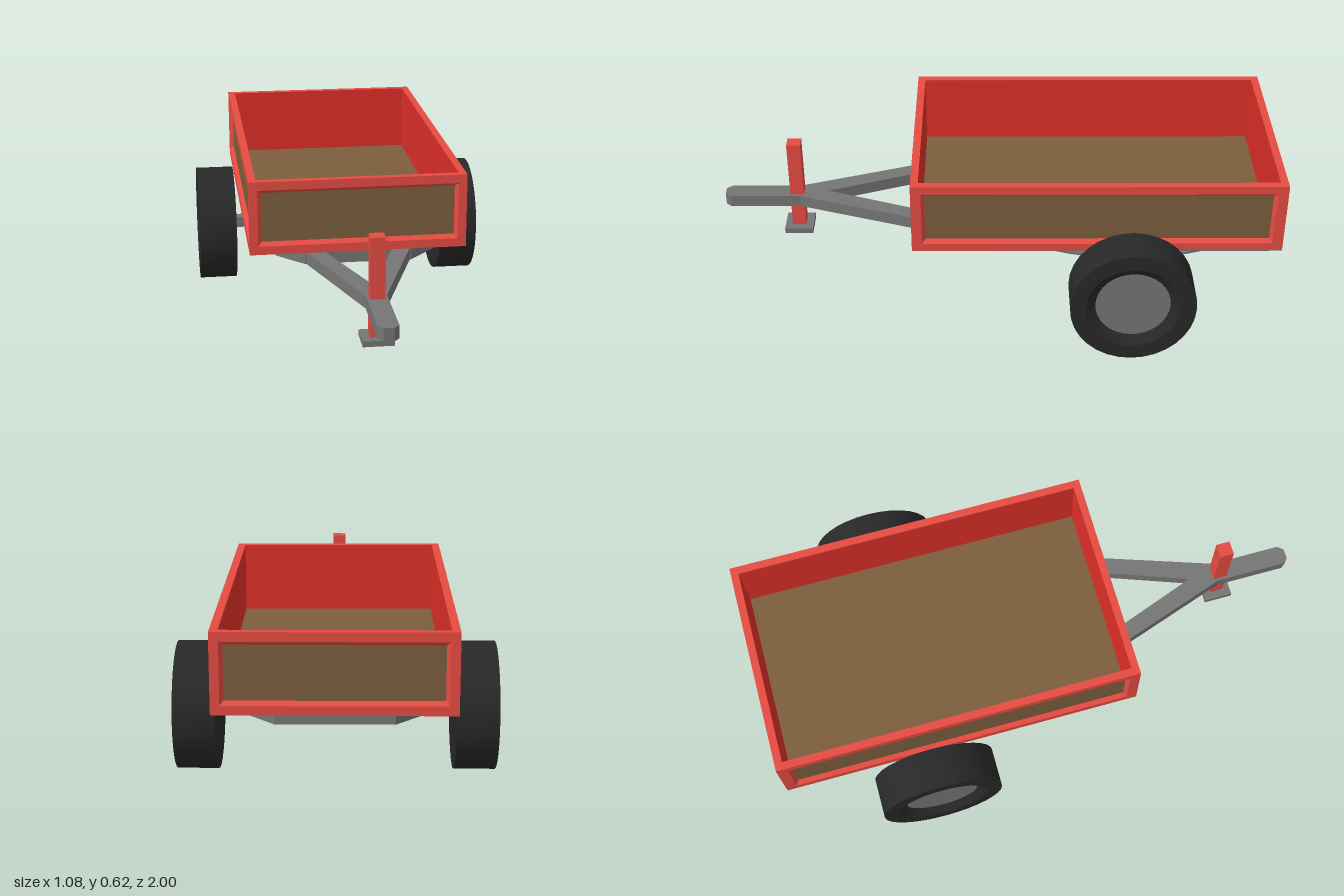
import * as THREE from 'three';
import { toCreasedNormals } from 'three/addons/utils/BufferGeometryUtils.js';

const mat = (name, color) => {
  const m = new THREE.MeshStandardMaterial({ color });
  m.name = name;
  return m;
};

export function createModel() {
  const red = mat('red paint', 0xe64b42);
  const innerRed = mat('inner red', 0xde2f27);
  const brown = mat('brown board', 0x7c5e3e);
  const grey = mat('grey steel', 0x757575);
  const dark = mat('dark rubber', 0x282828);

  const model = new THREE.Group();
  model.name = 'trailer';

  const add = (parent, name, geo, material, x = 0, y = 0, z = 0) => {
    const m = new THREE.Mesh(geo, material);
    m.name = name;
    m.position.set(x, y, z);
    parent.add(m);
    return m;
  };
  const box = (name, material, w, h, d, x, y, z) =>
    add(model, name, new THREE.BoxGeometry(w, h, d), material, x, y, z);
  const vecs = (pts) => pts.map(([a, b]) => new THREE.Vector2(a, b));
  // Horizontal plate from an [x, z] outline, between two heights
  const plate = (outline, y0, y1, hole) => {
    const s = new THREE.Shape(vecs(outline));
    if (hole) s.holes.push(new THREE.Path(vecs(hole)));
    return new THREE.ExtrudeGeometry(s, { depth: y1 - y0, bevelEnabled: false })
      .rotateX(Math.PI / 2).translate(0, y1, 0);
  };
  const rect = (w, h) => [[-w, -h], [w, -h], [w, h], [-w, h]];

  // Cargo box dimensions
  const W = 0.77, L = 1.295, Y0 = 0.353, Y1 = 0.62, H = Y1 - Y0, ZC = -0.3525, T = 0.027;

  // Red surround: flat border followed by a bevel into the recess
  const surround = (w, border) => {
    const pos = [];
    const rings = [[0, 0, 0], [border, 0.031, 0], [border + 0.012, 0.044, -0.015]].map(([mx, my, z]) =>
      rect(w / 2 - mx, H / 2 - my).map(([x, y]) => [x, y, z]));
    for (let r = 0; r < 2; r++) {
      for (let i = 0; i < 4; i++) {
        const j = (i + 1) % 4;
        const [a, b, c, d] = [rings[r][i], rings[r][j], rings[r + 1][j], rings[r + 1][i]];
        pos.push(...a, ...b, ...c, ...a, ...c, ...d);
      }
    }
    const g = new THREE.BufferGeometry();
    g.setAttribute('position', new THREE.Float32BufferAttribute(pos, 3));
    g.computeVertexNormals();
    return g;
  };

  const wall = (name, w, border, x, z, turn) => {
    const g = new THREE.Group();
    g.name = name;
    add(g, 'wallFrame', surround(w, border), red);
    add(g, 'wallPanel', new THREE.PlaneGeometry(w - 2 * border - 0.024, H - 0.088), brown, 0, 0, -0.015);
    add(g, 'innerLining', new THREE.PlaneGeometry(w - 2 * T, H).rotateY(Math.PI), innerRed, 0, 0, -T);
    g.position.set(x, (Y0 + Y1) / 2, z);
    g.rotation.y = turn;
    model.add(g);
  };
  wall('frontWall', W, 0.03, 0, ZC + L / 2, 0);
  wall('backWall', W, 0.03, 0, ZC - L / 2, Math.PI);
  wall('leftWall', L, 0.036, W / 2, ZC, Math.PI / 2);
  wall('rightWall', L, 0.036, -W / 2, ZC, -Math.PI / 2);
  add(model, 'topRim', plate(rect(W / 2, L / 2), Y1 - 0.006, Y1, rect(W / 2 - T, L / 2 - T)),
    red, 0, 0, ZC);
  box('floor', brown, W - 2 * T, 0.012, L - 2 * T, 0, Y0 + 0.009, ZC);
  box('underside', grey, W, 0.004, L, 0, Y0 + 0.002, ZC);

  // Chassis ring with cut corners
  const R0 = 0.308;
  const octagon = (m) => {
    const x = 0.285 - m, c = 0.19 - m * 0.42, f = 0.285 - m, b = -0.95 + m;
    const fs = 0.185 - m * 0.42, bs = -0.85 + m * 0.42;
    return [[-c, b], [c, b], [x, bs], [x, fs], [c, f], [-c, f], [-x, fs], [-x, bs]];
  };
  add(model, 'chassisRing', plate(octagon(0), R0, Y0, octagon(0.04)), grey);

  // Drawbar: two converging arms and a tongue with a chamfered tip
  for (const s of [1, -1]) {
    const arm = [[0.19, 0.27], [0.033, 0.73], [0, 0.73], [0, 0.62], [0.128, 0.27]];
    add(model, s > 0 ? 'leftDrawbarArm' : 'rightDrawbarArm',
      plate(arm.map(([x, z]) => [s * x, z]), R0, Y0), grey);
  }
  add(model, 'drawbarTongue', plate([[-0.035, 0.68], [0.035, 0.68], [0.035, 0.98],
    [0.018, 1], [-0.018, 1], [-0.035, 0.98]], R0, Y0), grey);

  // Jack stand
  box('jackPost', red, 0.05, 0.345, 0.05, 0, 0.3925, 0.735);
  box('jackFoot', grey, 0.106, 0.02, 0.104, 0, 0.208, 0.735);

  // Axle
  box('axle', grey, 0.82, 0.042, 0.04, 0, 0.222, -0.475);

  // Curved leaf springs joining rails and axle
  const leaf = [[-0.1, 0.31], [-0.26, 0.27], [-0.4, 0.248], [-0.475, 0.243],
    [-0.55, 0.248], [-0.69, 0.27], [-0.85, 0.31]];
  const band = [...leaf, ...leaf.map(([z, y]) => [z, y + 0.009]).reverse()];
  const springGeo = new THREE.ExtrudeGeometry(new THREE.Shape(vecs(band)),
    { depth: 0.037, bevelEnabled: false }).rotateY(-Math.PI / 2).translate(0.0185, 0, 0);

  // Wheels: tyre with a sloped recess around the hub disc
  const tyreGeo = toCreasedNormals(new THREE.LatheGeometry(
    vecs([[0, 0], [0.22, 0], [0.22, 0.142], [0.165, 0.142], [0.13, 0.118]]), 32), 0.3)
    .rotateZ(-Math.PI / 2);
  const hubGeo = new THREE.CircleGeometry(0.131, 32).rotateY(Math.PI / 2);

  for (const s of [1, -1]) {
    const side = s > 0 ? 'left' : 'right';
    add(model, side + 'Spring', springGeo, grey, s * 0.268, 0, 0);
    const wheel = new THREE.Group();
    wheel.name = side + 'Wheel';
    add(wheel, 'tyre', tyreGeo, dark);
    add(wheel, 'hub', hubGeo, grey, 0.119, 0, 0);
    wheel.position.set(s * 0.4, 0.22, -0.475);
    if (s < 0) wheel.rotation.y = Math.PI;
    model.add(wheel);
  }
  return model;
}
